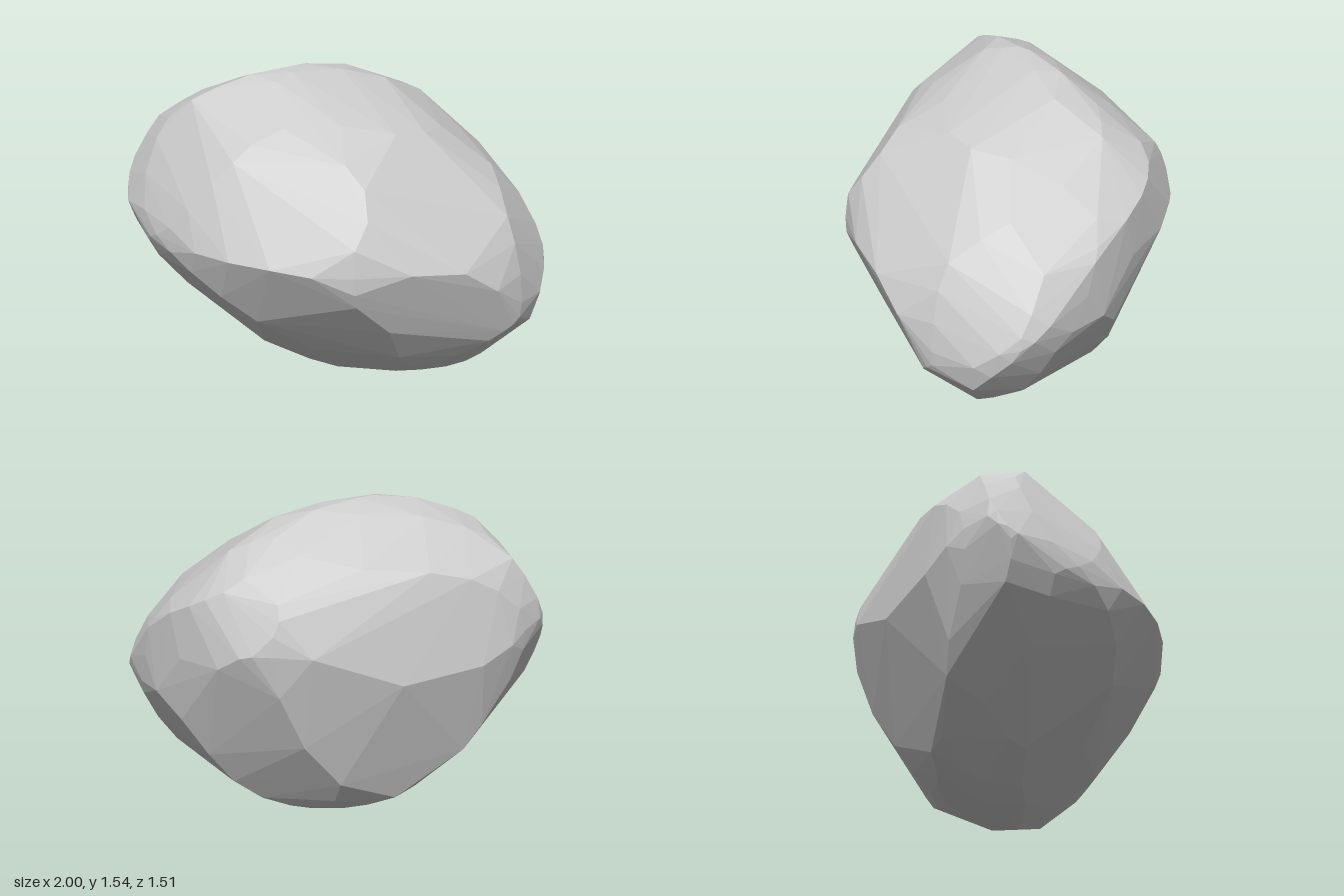
import * as THREE from 'three';
import { ConvexGeometry } from 'three/addons/geometries/ConvexGeometry.js';

const MIDDLE = 0.77; // height of the stone's middle
const CUTS = 32; // cuts around each outline

// Planes touching a smooth closed outline (a, b pairs about the middle),
// drawn on a sheet turned by azimuth and tilted by elevation
function cutsAround(azimuth, elevation, pairs) {
  const rad = THREE.MathUtils.degToRad;
  const turn = new THREE.Euler(-rad(elevation), rad(azimuth), 0, 'YXZ');
  const points = [];
  for (let i = 0; i < pairs.length; i += 2) {
    points.push(new THREE.Vector3(pairs[i], pairs[i + 1], 0).applyEuler(turn));
  }
  const outline = new THREE.CatmullRomCurve3(points, true).getPoints(points.length * 10);
  return Array.from({ length: CUTS }, (_, i) => {
    const t = (i / CUTS) * Math.PI * 2;
    const n = new THREE.Vector3(Math.cos(t), Math.sin(t), 0).applyEuler(turn);
    return { n, h: Math.max(...outline.map((p) => p.dot(n))) };
  });
}

// Calls fn(a, b, c, cross) for each triangle of a convex hull
function eachTriangle(points, fn) {
  const position = new ConvexGeometry(points).getAttribute('position');
  for (let i = 0; i < position.count; i += 3) {
    const [a, b, c] = [0, 1, 2].map((k) => new THREE.Vector3().fromBufferAttribute(position, i + k));
    fn(a, b, c, b.clone().sub(a).cross(c.clone().sub(a)));
  }
}

// Corners of the block left after all the cuts: the faces of the dual hull
function carvedCorners(planes) {
  const corners = [];
  eachTriangle(planes.map(({ n, h }) => n.clone().divideScalar(h)), (a, b, c, cross) => {
    const d = cross.dot(a);
    if (cross.length() < 1e-9 || d <= 0) return;
    const corner = cross.divideScalar(d);
    if (corner.length() < 1.5) corners.push(corner);
  });
  return corners;
}

// Middle of every cut face, which wears the block down to a rounded stone
function faceCentres(planes, corners) {
  const faces = planes.map(() => ({ area: 0, sum: new THREE.Vector3() }));
  eachTriangle(corners, (a, b, c, cross) => {
    const gaps = planes.map(({ n, h }) => Math.max(...[a, b, c].map((p) => Math.abs(n.dot(p) - h))));
    const face = faces[gaps.indexOf(Math.min(...gaps))];
    const area = cross.length();
    face.area += area;
    face.sum.addScaledVector(a.add(b).add(c), area / 3);
  });
  return faces.filter((f) => f.area > 1e-5).map((f) => f.sum.divideScalar(f.area));
}

export function createModel() {
  const planes = [
    // across
    ...cutsAround(0, 0, [-0.16, 0.77, 0.36, 0.63, 0.71, 0.37, 1, -0.14, 0.8, -0.52, 0.5, -0.69, 0.13, -0.77,
      -0.36, -0.63, -0.8, -0.24, -1, 0.18, -0.8, 0.55, -0.5, 0.72]),
    // front to back
    ...cutsAround(90, 0, [0.09, 0.77, -0.3, 0.61, -0.6, 0.38, -0.76, 0.08, -0.65, -0.21, -0.24, -0.67,
      0.05, -0.77, 0.36, -0.68, 0.6, -0.37, 0.755, 0.25, 0.6, 0.52, 0.27, 0.73]),
    // plan
    ...cutsAround(0, 90, [0.24, 0.76, 0.54, 0.59, 0.9, 0.18, 1, -0.07, 0.8, -0.5, 0.06, -0.75,
      -0.48, -0.59, -0.87, -0.2, -1, 0.08, -0.9, 0.29, -0.4, 0.58]),
    // three tilted diagonals
    ...cutsAround(35, 25, [-0.37, 0.8, 0.16, 0.75, 0.55, 0.6, 0.77, 0.39, 0.85, -0.05, 0.8, -0.38,
      0.55, -0.71, 0.29, -0.8, -0.52, -0.36, -0.78, -0.01, -0.82, 0.24, -0.62, 0.7]),
    ...cutsAround(215, 25, [-0.14, 0.66, 0.28, 0.61, 0.62, 0.41, 0.82, -0.11, 0.45, -0.54, 0.02, -0.77,
      -0.43, -0.64, -0.74, -0.28, -0.85, 0.23, -0.41, 0.58]),
    ...cutsAround(140, -30, [0.03, 0.78, 0.71, 0.39, 0.87, -0.02, 0.79, -0.28, 0.61, -0.49, 0.11, -0.66,
      -0.46, -0.53, -0.89, -0.22, -0.92, -0.04, -0.82, 0.26, -0.46, 0.59]),
  ];
  const geometry = new ConvexGeometry(faceCentres(planes, carvedCorners(planes)));
  geometry.translate(0, MIDDLE, 0);

  const stone = new THREE.Mesh(geometry, new THREE.MeshStandardMaterial({ color: 0xcccccc, flatShading: true }));
  stone.name = 'boulder';
  const group = new THREE.Group();
  group.name = 'rock';
  group.add(stone);
  return group;
}
